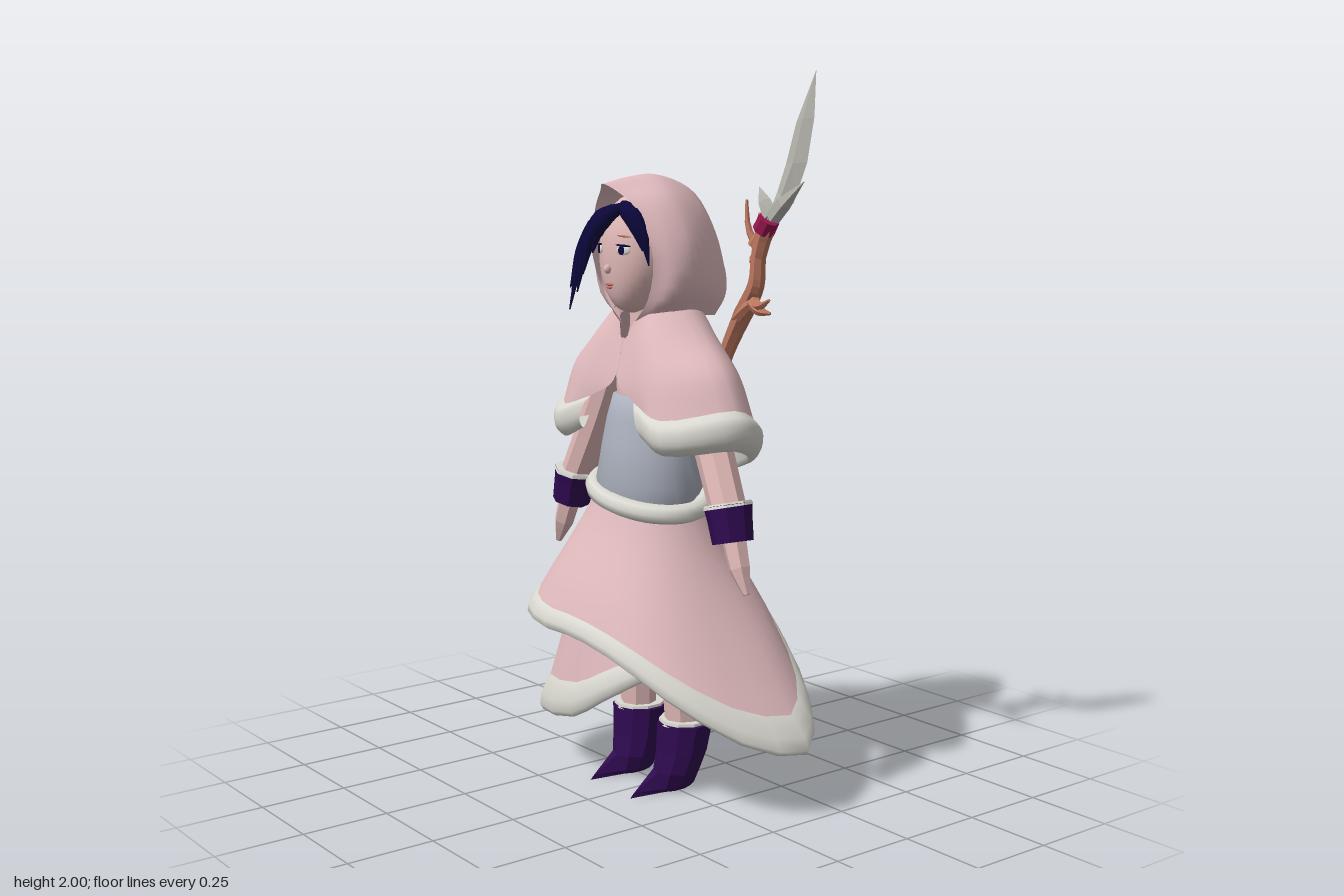
import * as THREE from 'three';

const CX = -0.03; // the body's centre line
const V = (x, y, z) => new THREE.Vector3(x, y, z);
const mat = (name, color) => new THREE.MeshStandardMaterial({ name, color, side: THREE.DoubleSide });

// Surface through rows of points
function grid(rows, closed = false, facets = false) {
  const n = rows[0].length, pos = [], idx = [];
  rows.forEach(r => r.forEach(p => pos.push(p.x, p.y, p.z)));
  for (let j = 0; j < rows.length - 1; j++)
    for (let i = 0; i < (closed ? n : n - 1); i++) {
      const a = j * n + i, b = j * n + (i + 1) % n;
      idx.push(a, b, a + n, b, b + n, a + n);
    }
  let g = new THREE.BufferGeometry();
  g.setAttribute('position', new THREE.Float32BufferAttribute(pos, 3));
  g.setIndex(idx);
  if (facets) g = g.toNonIndexed();
  g.computeVertexNormals();
  return g;
}

const spline = (pts, n, closed = false) => {
  const c = new THREE.CatmullRomCurve3(pts, closed, 'centripetal');
  return Array.from({ length: n }, (_, i) => c.getPoint(i / (closed ? n : n - 1)));
};

// Smooth surface from a few control rows
function loft(rows, nu, nv) {
  const fine = rows.map(r => spline(r, nu));
  const cols = fine[0].map((_, i) => spline(fine.map(r => r[i]), nv));
  return grid(Array.from({ length: nv }, (_, j) => cols.map(c => c[j])));
}

// Half a row, ending on the centre line, mirrored to a full row
function mirrorRow(half) {
  const right = half.map(([x, y, z]) => V(CX + x, y, z));
  const left = half.slice(0, -1).reverse().map(([x, y, z]) => V(CX - x, y, z));
  return [...right, ...left];
}

// Tube along a path with a radius per path point
function taperTube(path, radii, sides = 7, segs = 12, facets = false) {
  const c = new THREE.CatmullRomCurve3(path.map(p => V(...p)));
  const f = c.computeFrenetFrames(segs), rows = [];
  for (let j = 0; j <= segs; j++) {
    const k = j / segs * (radii.length - 1), a = Math.min(Math.floor(k), radii.length - 2);
    const r = THREE.MathUtils.lerp(radii[a], radii[a + 1], k - a), p = c.getPoint(j / segs);
    rows.push(Array.from({ length: sides }, (_, i) => {
      const t = i / sides * Math.PI * 2;
      return p.clone().addScaledVector(f.normals[j], r * Math.cos(t)).addScaledVector(f.binormals[j], r * Math.sin(t));
    }));
  }
  const cap = j => rows[0].map(() => c.getPoint(j));
  return grid([cap(0), ...rows, cap(1)], true, facets);
}

const waistY = (x, z) => 0.838 - 0.17 * (x - CX) - 0.1 * z;

export function createModel() {
  const model = new THREE.Group();
  const cloth = mat('pink cloth', 0xe1bbbe), fur = mat('white fur', 0xdad9d1), steel = mat('grey bodice', 0xabb0bd);
  const purple = mat('purple leather', 0x2f0a50), navy = mat('navy hair', 0x0c083e), skin = mat('skin', 0xe0b9b7);
  const wood = mat('wood', 0xc07a62), magenta = mat('magenta wrap', 0x9a1650), metal = mat('blade grey', 0xb9b8b0);
  const lip = mat('lip red', 0xbc7068);
  const add = (name, geo, m, parent = model) => {
    const mesh = new THREE.Mesh(geo, m);
    mesh.name = name;
    parent.add(mesh);
    return mesh;
  };

  // Skirts: flare from the tilted waist to an uneven hem with a fur edge; front and back swell outward
  function skirt(name, front, back, hem) {
    const pts = spline(hem.map(p => V(...p)), 28, true);
    const row = (t, puff = 0) => pts.map(h => {
      const a = Math.atan2((h.z - 0.01) / 0.13, (h.x - CX) / 0.18), s = Math.sin(a), c = Math.cos(a);
      const f = Math.pow(t, 1.15) + (s < 0 ? back : front) * s * s * t * Math.sin(Math.PI * t);
      const wx = CX + 0.18 * c, wz = 0.01 + 0.13 * s, wy = waistY(wx, wz);
      return V(wx + (h.x - wx) * f + puff * c, wy + (h.y - wy) * t, wz + (h.z - wz) * f + puff * s);
    });
    add(name, grid([0, 0.14, 0.28, 0.42, 0.56, 0.7, 0.84].map(t => row(t)), true), cloth);
    add(name + 'Fur', grid([row(0.84), row(0.87, 0.008), row(0.93, 0.012), row(0.98, 0.006), row(1, -0.008), row(0.96, -0.02), row(0.86, -0.015)], true), fur);
  }
  skirt('upperSkirt', 0.2, 0.3, [[0.485, 0.18, -0.14], [0.43, 0.22, 0.03], [0.3, 0.33, 0.18], [0.14, 0.42, 0.25], [-0.03, 0.46, 0.272],
    [-0.2, 0.46, 0.268], [-0.34, 0.47, 0.22], [-0.45, 0.49, 0.1], [-0.465, 0.51, -0.02], [-0.38, 0.5, -0.13], [-0.2, 0.53, -0.235],
    [-0.03, 0.54, -0.262], [0.1, 0.5, -0.272], [0.26, 0.38, -0.262], [0.4, 0.26, -0.225]]);
  skirt('lowerSkirt', 0.05, 0, [[-0.485, 0.18, -0.06], [-0.46, 0.16, 0.06], [-0.37, 0.155, 0.16], [-0.13, 0.2, 0.215], [0.02, 0.28, 0.22],
    [0.17, 0.37, 0.17], [0.26, 0.43, 0.08], [0.28, 0.46, -0.04], [0.22, 0.45, -0.14], [0.1, 0.42, -0.19], [-0.05, 0.37, -0.215],
    [-0.2, 0.31, -0.23], [-0.33, 0.25, -0.212], [-0.435, 0.2, -0.145]]);

  // Waist fur, bodice and chest
  const belt = Array.from({ length: 16 }, (_, i) => {
    const a = i / 16 * Math.PI * 2, x = CX + 0.185 * Math.cos(a), z = 0.01 + 0.135 * Math.sin(a);
    return V(x, waistY(x, z) + 0.01, z);
  });
  add('waistFur', new THREE.TubeGeometry(new THREE.CatmullRomCurve3(belt, true), 40, 0.028, 8, true), fur);
  const turned = (name, pts, m, sz, z) => {
    const mesh = add(name, new THREE.LatheGeometry(pts.map(p => new THREE.Vector2(...p)), 24), m);
    mesh.scale.z = sz;
    mesh.position.set(CX, 0, z);
  };
  turned('bodice', [[0.14, 0.8], [0.17, 0.88], [0.15, 0.99], [0.135, 1.06], [0.115, 1.125], [0.05, 1.13]], steel, 0.84, 0.008);
  turned('chest', [[0.105, 1.1], [0.11, 1.2], [0.08, 1.28], [0.045, 1.31]], cloth, 0.9, 0);
  turned('neck', [[0.055, 1.26], [0.042, 1.32], [0.045, 1.42]], skin, 1, 0.025);

  // Shoulder cape, open at the front and longest at the back, with fur hem
  const capeRows = [
    [[0.03, 1.33, 0.09], [0.09, 1.36, 0.07], [0.13, 1.375, -0.02], [0.1, 1.36, -0.1], [0, 1.35, -0.14]],
    [[0.006, 1.26, 0.105], [0.13, 1.29, 0.1], [0.21, 1.295, -0.02], [0.15, 1.28, -0.115], [0, 1.26, -0.135]],
    [[0.01, 1.17, 0.128], [0.19, 1.19, 0.128], [0.31, 1.21, 0], [0.23, 1.18, -0.125], [0, 1.14, -0.135]],
    [[0.1, 1.12, 0.14], [0.22, 1.085, 0.145], [0.36, 1.115, 0], [0.275, 1.06, -0.135], [0, 0.985, -0.135]],
  ].map(mirrorRow);
  add('cape', loft(capeRows, 33, 16), cloth);
  add('capeFur', loft([capeRows[3], ...[
    [[0.115, 1.1, 0.152], [0.24, 1.06, 0.163], [0.388, 1.09, 0], [0.295, 1.03, -0.15], [0, 0.955, -0.145]],
    [[0.135, 1.05, 0.156], [0.245, 1.015, 0.16], [0.387, 1.035, 0], [0.285, 0.975, -0.15], [0, 0.905, -0.145]],
    [[0.14, 1.025, 0.138], [0.225, 0.99, 0.135], [0.355, 1.005, 0], [0.265, 0.95, -0.13], [0, 0.885, -0.13]],
    [[0.13, 1.06, 0.125], [0.21, 1.045, 0.12], [0.335, 1.06, 0], [0.255, 1.005, -0.115], [0, 0.93, -0.12]],
  ].map(mirrorRow)], 33, 14), fur);

  // Hood: arches from the face opening back to a drooping point
  add('hood', loft([
    [[0.02, 1.32, 0.085], [0.1, 1.4, 0.09], [0.14, 1.52, 0.105], [0.095, 1.64, 0.125], [0.035, 1.69, 0.15], [0, 1.708, 0.168]],
    [[0.07, 1.34, 0.06], [0.165, 1.41, 0.06], [0.172, 1.53, 0.065], [0.12, 1.655, 0.07], [0.05, 1.705, 0.08], [0, 1.726, 0.085]],
    [[0.12, 1.35, 0], [0.18, 1.43, 0], [0.178, 1.55, 0], [0.12, 1.66, 0], [0.05, 1.715, -0.005], [0, 1.733, -0.01]],
    [[0.1, 1.345, -0.12], [0.135, 1.41, -0.12], [0.13, 1.51, -0.12], [0.09, 1.61, -0.125], [0.035, 1.67, -0.13], [0, 1.685, -0.14]],
    [[0.055, 1.34, -0.18], [0.075, 1.39, -0.195], [0.07, 1.46, -0.2], [0.045, 1.53, -0.205], [0.02, 1.57, -0.21], [0, 1.585, -0.212]],
    [[0.004, 1.34, -0.22], [0.005, 1.37, -0.25], [0.005, 1.4, -0.263], [0.004, 1.43, -0.265], [0.002, 1.46, -0.262], [0, 1.475, -0.258]],
  ].map(mirrorRow), 33, 24), cloth);

  // Head: a sphere narrowed toward the chin, with a flattened face
  const head = new THREE.Group();
  head.name = 'head';
  head.position.set(CX, 1.52, 0.03);
  model.add(head);
  const skull = new THREE.SphereGeometry(1, 28, 20), sp = skull.attributes.position;
  for (let i = 0; i < sp.count; i++) {
    const y = sp.getY(i), z = sp.getZ(i), low = Math.max(0, -y), k = 1 - 0.25 * low * low;
    sp.setXYZ(i, sp.getX(i) * 0.114 * k, y * 0.165, Math.sign(z) * Math.pow(Math.abs(z), 0.75) * 0.12 + 0.025 * low * low);
  }
  skull.computeVertexNormals();
  add('face', skull, skin, head);
  const dot = (name, m, x, y, z, sx, sy, sz, ry = 0, rz = 0) => {
    const d = add(name, new THREE.SphereGeometry(1, 14, 10), m, head);
    d.position.set(x, y, z);
    d.scale.set(sx, sy, sz);
    d.rotation.set(0, ry, rz);
  };
  dot('nose', skin, 0, -0.042, 0.122, 0.009, 0.013, 0.012);
  dot('upperLip', lip, 0, -0.084, 0.117, 0.018, 0.004, 0.005);
  dot('lowerLip', lip, 0, -0.092, 0.116, 0.012, 0.004, 0.005);
  for (const s of [-1, 1]) {
    dot('eyeWhite', fur, s * 0.053, 0.01, 0.109, 0.022, 0.013, 0.005, s * 0.4);
    dot('iris', navy, s * 0.051, 0.01, 0.114, 0.01, 0.012, 0.003, s * 0.4);
    dot('lash', navy, s * 0.054, 0.023, 0.11, 0.024, 0.003, 0.005, s * 0.4, s * -0.08);
    dot('eyebrow', wood, s * 0.053, 0.048, 0.106, 0.022, 0.003, 0.005, s * 0.4, s * -0.1);
  }

  // Hair: a cap under the hood and thin locks swept to both sides
  const cap = add('hairCap', new THREE.SphereGeometry(1, 24, 12, 0, Math.PI * 2, 0, 1.5), navy, head);
  cap.scale.set(0.118, 0.17, 0.126);
  cap.rotation.x = -0.6;
  const locks = [
    [[0.01, 1.65, 0.12], [-0.07, 1.62, 0.14], [-0.14, 1.54, 0.152], [-0.18, 1.36, 0.175]],
    [[0.01, 1.65, 0.125], [-0.06, 1.615, 0.145], [-0.12, 1.54, 0.158], [-0.15, 1.41, 0.17]],
    [[0.01, 1.65, 0.125], [-0.05, 1.61, 0.15], [-0.1, 1.55, 0.16], [-0.125, 1.46, 0.168]],
    [[0.01, 1.65, 0.125], [-0.035, 1.625, 0.145], [-0.07, 1.58, 0.154], [-0.09, 1.52, 0.16]],
    [[-0.05, 1.645, 0.118], [-0.12, 1.59, 0.132], [-0.165, 1.52, 0.147], [-0.19, 1.42, 0.165]],
    [[0.0, 1.655, 0.118], [0.05, 1.63, 0.125], [0.083, 1.575, 0.118], [0.093, 1.49, 0.105]],
    [[0.0, 1.655, 0.122], [0.035, 1.635, 0.135], [0.065, 1.59, 0.13], [0.085, 1.53, 0.12]],
  ];
  locks.forEach(p => add('hairLock', taperTube(p, [0.01, 0.023, 0.016, 0.002], 6, 12), navy));

  // Arms and legs, mirrored about the centre line
  for (const s of [-1, 1]) {
    const side = s > 0 ? 'left' : 'right', m = ([x, y, z]) => [CX + s * x, y, z];
    const limb = (name, pts, r, mt, n = 8) => add(side + name, taperTube(pts.map(m), r, n, pts.length > 2 ? 6 : 2, true), mt);
    limb('Sleeve', [[0.15, 1.25, 0], [0.25, 1.05, 0], [0.36, 0.83, 0.015]], [0.05, 0.054, 0.05], skin);
    limb('Cuff', [[0.352, 0.862, 0.015], [0.377, 0.765, 0.018]], [0.066, 0.056], purple);
    limb('CuffFur', [[0.35, 0.868, 0.015], [0.353, 0.856, 0.015]], [0.064, 0.068], fur);
    limb('Hand', [[0.38, 0.78, 0.018], [0.41, 0.7, 0.022], [0.44, 0.635, 0.022]], [0.035, 0.03, 0.01], skin, 6);
    limb('Leg', [[0.105, 0.16, -0.03], [0.1, 0.45, -0.02], [0.09, 0.82, 0]], [0.05, 0.06, 0.08], skin);
    limb('BootFur', [[0.107, 0.19, -0.035], [0.107, 0.204, -0.035]], [0.076, 0.074], fur, 10);

    // Boot rows: y, centre x, half width, heel z, toe z
    const boot = [[0.2, 0.107, 0.05, -0.08, 0.01], [0.195, 0.107, 0.085, -0.11, 0.04], [0.11, 0.103, 0.077, -0.095, 0.045],
      [0.055, 0.098, 0.066, -0.078, 0.055], [0.012, 0.096, 0.044, -0.068, 0.14], [0, 0.096, 0.03, -0.06, 0.152], [0, 0.096, 0, 0, 0]];
    add(side + 'Boot', grid(boot.map(([y, x, w, back, toe]) => Array.from({ length: 10 }, (_, i) => {
      const a = (i / 10) * Math.PI * 2 + Math.PI / 2, c = (back + Math.min(toe, 0.055)) / 2, r = c - back;
      return V(CX + s * x + w * Math.cos(a), y, i === 0 ? toe : c + r * Math.sin(a));
    })), true, true), purple);
  }

  // Staff with twigs, wrap and blade, slung across the back
  const staff = new THREE.Group();
  staff.name = 'staff';
  model.add(staff);
  add('shaft', taperTube([[-0.335, 0.2, -0.16], [-0.19, 0.58, -0.168], [-0.03, 0.98, -0.17], [0.09, 1.24, -0.17], [0.17, 1.36, -0.165],
    [0.232, 1.44, -0.155], [0.248, 1.52, -0.15], [0.275, 1.59, -0.15]], [0.016, 0.019, 0.02, 0.022, 0.028, 0.024, 0.022, 0.026], 7, 28, true), wood, staff);
  [
    [[0.16, 1.35, -0.165], [0.2, 1.44, -0.175], [0.21, 1.53, -0.175], [0.185, 1.59, -0.165], [0.178, 1.665, -0.165]],
    [[0.205, 1.54, -0.17], [0.225, 1.58, -0.175], [0.215, 1.63, -0.18]],
    [[0.205, 1.5, -0.175], [0.23, 1.52, -0.165], [0.26, 1.56, -0.15]],
    [[0.15, 1.34, -0.16], [0.24, 1.385, -0.135], [0.3, 1.385, -0.11], [0.36, 1.405, -0.09]],
    [[0.25, 1.39, -0.13], [0.29, 1.37, -0.12], [0.32, 1.365, -0.13]],
  ].forEach(p => add('twig', taperTube(p, [0.02, 0.014, 0.004], 6, 10, true), wood, staff));
  add('wrap', taperTube([[0.265, 1.582, -0.15], [0.288, 1.615, -0.15]], [0.031, 0.03], 8, 2, true), magenta, staff);

  // Blade rows: left edge x, y, right edge x, y, half thickness
  const blade = [[0.27, 1.62, 0.31, 1.605, 0.02], [0.31, 1.69, 0.375, 1.66, 0.018], [0.342, 1.76, 0.425, 1.765, 0.014],
    [0.382, 1.87, 0.45, 1.88, 0.01], [0.455, 2, 0.455, 2, 0]];
  add('blade', grid(blade.map(([ax, ay, bx, by, d]) => [V(ax, ay, -0.16), V((ax + bx) / 2, (ay + by) / 2, -0.16 + d),
    V(bx, by, -0.16), V((ax + bx) / 2, (ay + by) / 2, -0.16 - d)]), true, true), metal, staff);
  add('leftSpur', taperTube([[0.3, 1.62, -0.155], [0.35, 1.66, -0.15], [0.425, 1.715, -0.15]], [0.022, 0.022, 0.001], 5, 6, true), metal, staff);
  add('rightSpur', taperTube([[0.29, 1.62, -0.155], [0.265, 1.66, -0.155], [0.235, 1.7, -0.16]], [0.022, 0.018, 0.001], 5, 6, true), metal, staff);

  return model;
}
